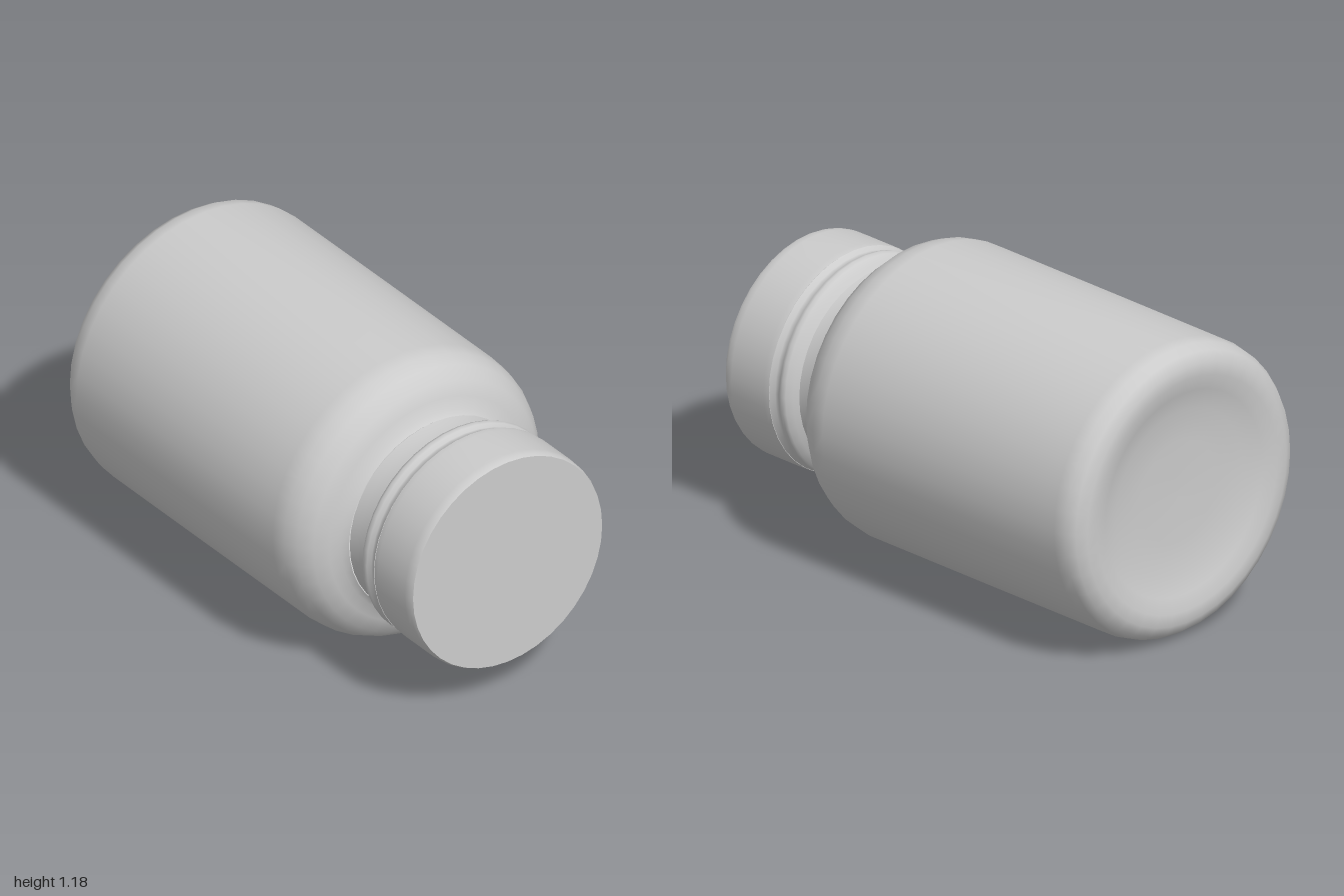
import * as THREE from 'three';

const CENTRE_Y = 0.593;

// Turned part lying along z; profile is [radius, z] from back to front
function turned(name, profile, segments, x = 0) {
  const points = profile.map(([r, z]) => new THREE.Vector2(r, z));
  const geometry = new THREE.LatheGeometry(points, segments);
  geometry.rotateX(Math.PI / 2);
  const material = new THREE.MeshStandardMaterial({ color: 0xcccccc, side: THREE.DoubleSide });
  const mesh = new THREE.Mesh(geometry, material);
  mesh.name = name;
  mesh.position.set(x, CENTRE_Y, 0);
  return mesh;
}

export function createModel() {
  const group = new THREE.Group();
  group.name = 'bottle';

  // Dished base, rounded rim, straight wall and sloping shoulder
  group.add(turned('body', [
    [0, -0.945], [0.2, -0.947], [0.33, -0.957], [0.41, -0.98], [0.47, -0.997],
    [0.52, -0.995], [0.56, -0.975], [0.582, -0.94], [0.591, -0.89],
    [0.592, -0.3], [0.592, 0.34], [0.583, 0.4], [0.56, 0.452], [0.52, 0.5],
    [0.465, 0.523], [0.42, 0.538], [0.4, 0.56],
  ], 40));

  // Narrow neck between the shoulder and the cap
  group.add(turned('neck', [
    [0.4, 0.56], [0.395, 0.6], [0.395, 0.65], [0.4, 0.68],
  ], 40, 0.004));

  // Tamper ring with a shallow groove behind the cap
  group.add(turned('capRing', [
    [0.395, 0.655], [0.415, 0.668], [0.437, 0.685], [0.443, 0.7],
    [0.44, 0.715], [0.43, 0.73], [0.432, 0.745], [0.444, 0.765],
  ], 40, 0.008));

  // Cap wall and flat lid with a tight edge
  group.add(turned('capWall', [
    [0.444, 0.765], [0.447, 0.79], [0.447, 0.96], [0.445, 0.985], [0.438, 1],
  ], 40, 0.01));
  group.add(turned('capLid', [[0.438, 1], [0.3, 1], [0, 1]], 40, 0.01));

  return group;
}
